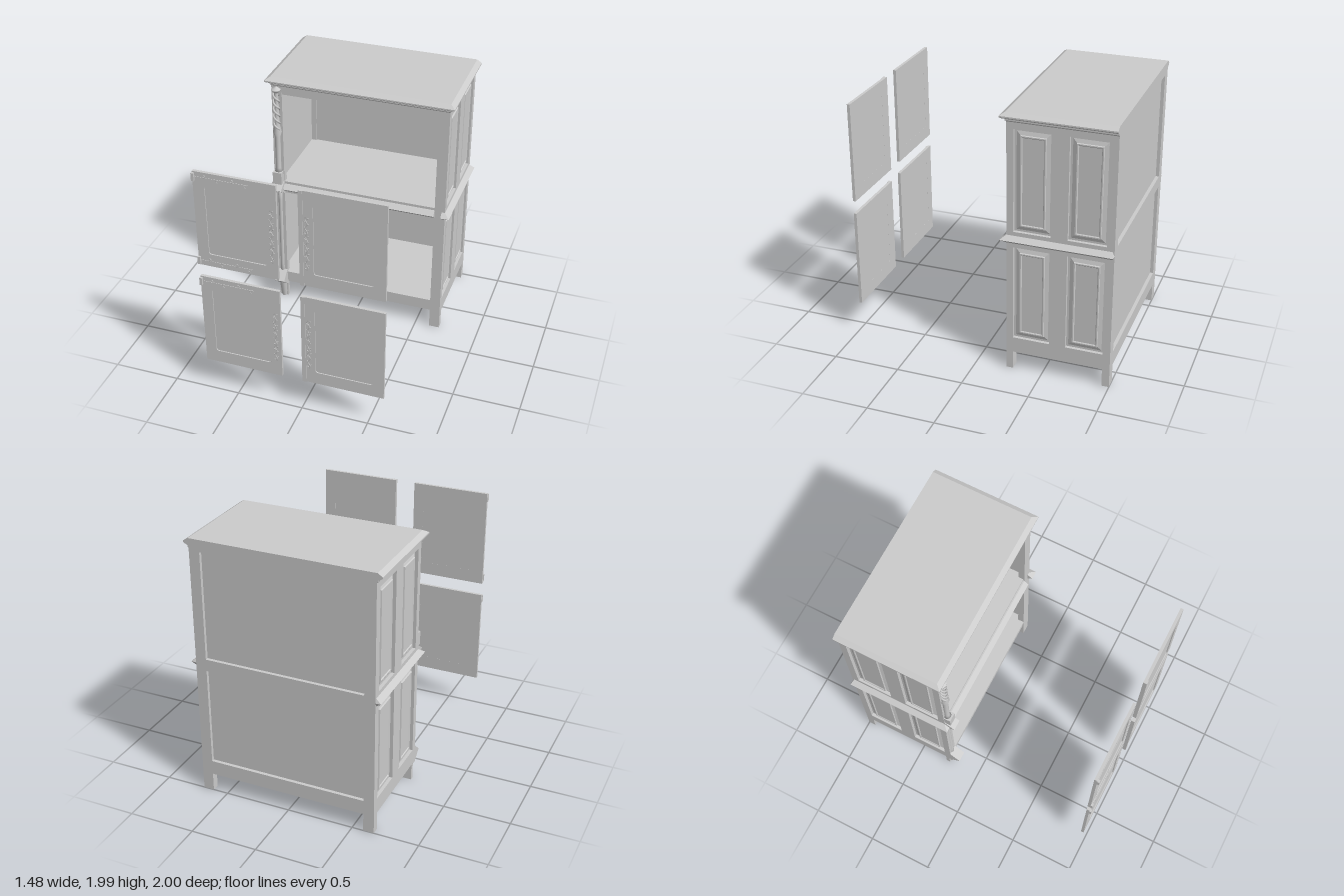
import * as THREE from 'three';

export function createModel() {
  const model = new THREE.Group();
  const mat = new THREE.MeshStandardMaterial({ color: 0xcccccc, flatShading: true });
  const smooth = new THREE.MeshStandardMaterial({ color: 0xcccccc });

  function add(name, geo, parent = model, m = mat) {
    const mesh = new THREE.Mesh(geo, m);
    mesh.name = name;
    parent.add(mesh);
    return mesh;
  }
  function box(name, x0, x1, y0, y1, z0, z1, parent = model) {
    const g = new THREE.BoxGeometry(x1 - x0, y1 - y0, z1 - z0);
    g.translate((x0 + x1) / 2, (y0 + y1) / 2, (z0 + z1) / 2);
    return add(name, g, parent);
  }
  // Closed solid through four-cornered sections, faces turned outward by signed volume
  function loft(rings) {
    const tris = [], n = rings[0].length, last = rings[rings.length - 1];
    const tri = (a, b, c) => tris.push([a, b, c]);
    for (let r = 0; r < rings.length - 1; r++) {
      for (let i = 0; i < n; i++) {
        const j = (i + 1) % n, a = rings[r], b = rings[r + 1];
        tri(a[i], a[j], b[j]);
        tri(a[i], b[j], b[i]);
      }
    }
    for (let i = 1; i < n - 1; i++) {
      tri(rings[0][0], rings[0][i + 1], rings[0][i]);
      tri(last[0], last[i], last[i + 1]);
    }
    let volume = 0;
    for (const [a, b, c] of tris) volume += a.clone().cross(b).dot(c);
    const pts = tris.flatMap(([a, b, c]) => (volume < 0 ? [a, c, b] : [a, b, c]));
    const g = new THREE.BufferGeometry().setFromPoints(pts);
    g.computeVertexNormals();
    return g;
  }
  const V = (x, y, z) => new THREE.Vector3(x, y, z);
  const flatRing = (y, x0, x1, z0, z1) => [V(x0, y, z0), V(x0, y, z1), V(x1, y, z1), V(x1, y, z0)];
  const sideRing = (x, y0, y1, z0, z1) => [V(x, y0, z0), V(x, y1, z0), V(x, y1, z1), V(x, y0, z1)];

  function rect(x0, x1, y0, y1, r = 0, T = THREE.Path) {
    const s = new T();
    s.moveTo(x0 + r, y0).lineTo(x1 - r, y0);
    if (r) s.quadraticCurveTo(x1, y0, x1, y0 + r);
    s.lineTo(x1, y1 - r);
    if (r) s.quadraticCurveTo(x1, y1, x1 - r, y1);
    s.lineTo(x0 + r, y1);
    if (r) s.quadraticCurveTo(x0, y1, x0, y1 - r);
    s.lineTo(x0, y0 + r);
    if (r) s.quadraticCurveTo(x0, y0, x0 + r, y0);
    return s;
  }
  function frame(outer, holes, depth) {
    const s = rect(...outer, 0, THREE.Shape);
    holes.forEach(h => s.holes.push(rect(...h)));
    return new THREE.ExtrudeGeometry(s, { depth, bevelEnabled: false, curveSegments: 4 });
  }

  // Side walls: framed, each with four raised panels
  const zs = [[-0.945, -0.67], [-0.55, -0.28]], ys = [[0.26, 0.99], [1.11, 1.87]];
  const openings = zs.flatMap(z => ys.map(y => [...z, ...y]));
  for (const side of [1, -1]) {
    const outer = side > 0 ? 0.695 : -0.665;
    const g = frame([-1, -0.23, 0.14, 1.93], openings, 0.04).rotateY(-Math.PI / 2);
    g.translate(side > 0 ? 0.695 : -0.625, 0, 0);
    add('sideFrame', g);
    const a = outer - side * 0.025, b = outer - side * 0.04;
    box('sideBoard', Math.min(a, b), Math.max(a, b), 0.24, 1.93, -0.96, -0.26);
    for (const [z0, z1, y0, y1] of openings) {
      const ring = (depth, i) => sideRing(outer - side * depth, y0 + i, y1 - i, z0 + i, z1 - i);
      add('raisedPanel', loft([ring(0.026, 0.012), ring(0.016, 0.043), ring(0.006, 0.046),
        ring(0.006, 0.054), ring(0.012, 0.06)]));
    }
    // Mid moulding, pointed in section and returned at its ends
    const x0 = outer - side * 0.025, tip = outer + side * 0.04;
    add('sideMoulding', loft([flatRing(1.02, x0, outer, -0.985, -0.23),
      flatRing(1.05, x0, tip, -1, -0.19), flatRing(1.08, x0, outer, -0.985, -0.23)]));
  }

  // Posts and legs
  box('frontPost', 0.615, 0.695, 0, 1.93, -0.28, -0.23);
  box('columnPost', -0.665, -0.585, 0.14, 1.93, -0.28, -0.232);
  box('backLeg', 0.615, 0.695, 0, 0.15, -1, -0.945);
  box('backLeg', -0.665, -0.585, 0, 0.15, -1, -0.945);

  // Back frame with two sunk panels
  const back = frame([-0.665, 0.695, 0.14, 1.93],
    [[-0.585, 0.615, 0.25, 1.0], [-0.585, 0.615, 1.09, 1.9]], 0.05);
  add('backFrame', back.translate(0, 0, -1));
  box('backBoard', -0.63, 0.66, 0.24, 1.92, -0.975, -0.96);

  // Floor, shelf and front rails
  box('floor', -0.63, 0.66, 0.225, 0.25, -0.965, -0.24);
  box('shelf', -0.63, 0.66, 1.03, 1.09, -0.965, -0.25);
  box('bottomRail', -0.59, 0.62, 0.15, 0.235, -0.275, -0.24);
  box('bottomRailMoulding', -0.59, 0.62, 0.235, 0.25, -0.275, -0.23);
  box('middleRail', -0.59, 0.62, 1.0, 1.1, -0.28, -0.24);
  box('topRail', -0.59, 0.62, 1.85, 1.93, -0.28, -0.235);
  add('frontMoulding', loft([flatRing(1.02, -0.59, 0.614, -0.25, -0.23),
    flatRing(1.05, -0.59, 0.614, -0.25, -0.195), flatRing(1.08, -0.59, 0.614, -0.25, -0.23)]));

  // Cornice, flush at the back
  const cornice = [[1.918, 0.001], [1.927, 0.008], [1.937, 0.008], [1.945, 0.026], [1.955, 0.04],
    [1.965, 0.04], [1.988, 0.004]];
  add('cornice', loft(cornice.map(([y, o]) => flatRing(y, -0.665 - o, 0.695 + o, -1, -0.23 + o))));

  // Turned column with wedge blocks, carving and tapered foot
  const column = new THREE.Group();
  column.name = 'cornerColumn';
  model.add(column);
  for (const [y, h] of [[0.2, 0.07], [1.055, 0.055]]) {
    add('wedgeBlock', loft([flatRing(y - h, -0.665, -0.585, -0.26, -0.228),
      flatRing(y, -0.665, -0.585, -0.26, -0.15), flatRing(y + h, -0.665, -0.585, -0.26, -0.228)]), column);
  }
  const turned = (name, pts, z) => add(name, new THREE.LatheGeometry(
    pts.map(([r, y]) => new THREE.Vector2(r, y)), 16).translate(-0.625, 0, z), column, smooth);
  turned('columnShaft', [[0, 1.19], [0.03, 1.2], [0.02, 1.23], [0.022, 1.5], [0.034, 1.54], [0.02, 1.6],
    [0.015, 1.86], [0.022, 1.875], [0.036, 1.885], [0.036, 1.895], [0, 1.915]], -0.222);
  turned('lowerShaft', [[0, 0.24], [0.021, 0.25], [0.018, 0.32], [0.018, 0.93], [0.021, 1.0], [0, 1.01]], -0.24);
  box('columnBase', -0.66, -0.59, 1.1, 1.2, -0.25, -0.18, column);
  const foot = new THREE.CylinderGeometry(0.03, 0.022, 0.17, 12);
  add('columnFoot', foot.rotateX(0.14).translate(-0.625, 0.087, -0.243), column, smooth);
  box('footBack', -0.66, -0.59, 0, 0.15, -0.28, -0.25, column);
  for (let s = 0; s < 2; s++) {
    const pts = [];
    for (let i = 0; i <= 40; i++) {
      const t = i / 40, a = t * Math.PI * 5 + s * Math.PI;
      pts.push(V(-0.625 + 0.022 * Math.cos(a), 1.56 + 0.3 * t, -0.218 + 0.02 * Math.sin(a)));
    }
    add('carvedTwist', new THREE.TubeGeometry(new THREE.CatmullRomCurve3(pts), 80, 0.008, 6), column, smooth);
  }

  // Four doors, set well forward of the carcass
  function door(y0, y1, left) {
    const g = new THREE.Group();
    g.name = left ? 'leftHandDoor' : 'rightHandDoor';
    model.add(g);
    const [x0, x1, p0, p1, cx] = left ? [-0.742, -0.15, -0.66, -0.23, -0.19] : [0.005, 0.612, 0.105, 0.53, 0.058];
    add('doorFrame', frame([x0, x1, y0, y1], [[p0, p1, y0 + 0.1, y1 - 0.1, 0.02]], 0.022).translate(0, 0, 0.962), g);
    box('doorPanel', p0 - 0.01, p1 + 0.01, y0 + 0.09, y1 - 0.09, 0.9625, 0.976, g);
    // Carved vine beside the panel
    const vine = [];
    for (let i = 0; i <= 36; i++) vine.push(V(cx + 0.008 * Math.sin(i * 1.05), y0 + 0.13 + i * 0.0118, 0.984));
    add('carvedVine', new THREE.TubeGeometry(new THREE.CatmullRomCurve3(vine), 90, 0.004, 5), g, smooth);
    for (let i = 0; i < 18; i++) {
      const leaf = new THREE.SphereGeometry(1, 6, 4).scale(0.009, 0.004, 0.004);
      const s = i % 2 ? 1 : -1;
      add('vineLeaf', leaf.rotateZ(s * 0.6).translate(cx + s * 0.011, y0 + 0.142 + i * 0.0236, 0.984), g, smooth);
    }
    if (!left) box('meetingStrip', x0, x0 + 0.03, y0, y1, 0.98, 0.99, g);
    return g;
  }
  // Thin ornate strap with a knuckle at the door edge
  function strap(g, y) {
    box('hingeKnuckle', -0.745, -0.725, y - 0.03, y + 0.03, 0.98, 1, g);
    box('hingeStrap', -0.73, -0.34, y - 0.003, y + 0.003, 0.983, 0.987, g);
    for (let i = 0; i < 4; i++) {
      const curl = new THREE.TorusGeometry(0.012, 0.003, 5, 12, Math.PI * 1.4);
      add('hingeCurl', curl.rotateZ(i % 2 ? 0.6 : 3.4).translate(-0.66 + i * 0.1, y + (i % 2 ? -0.01 : 0.01), 0.985), g, smooth);
    }
  }
  for (const [y0, y1] of [[0.25, 1.0], [1.1, 1.85]]) {
    const leftDoor = door(y0, y1, true);
    door(y0, y1, false);
    strap(leftDoor, y1 - 0.04);
    if (y0 > 1) strap(leftDoor, y0 + 0.04);
  }
  return model;
}
